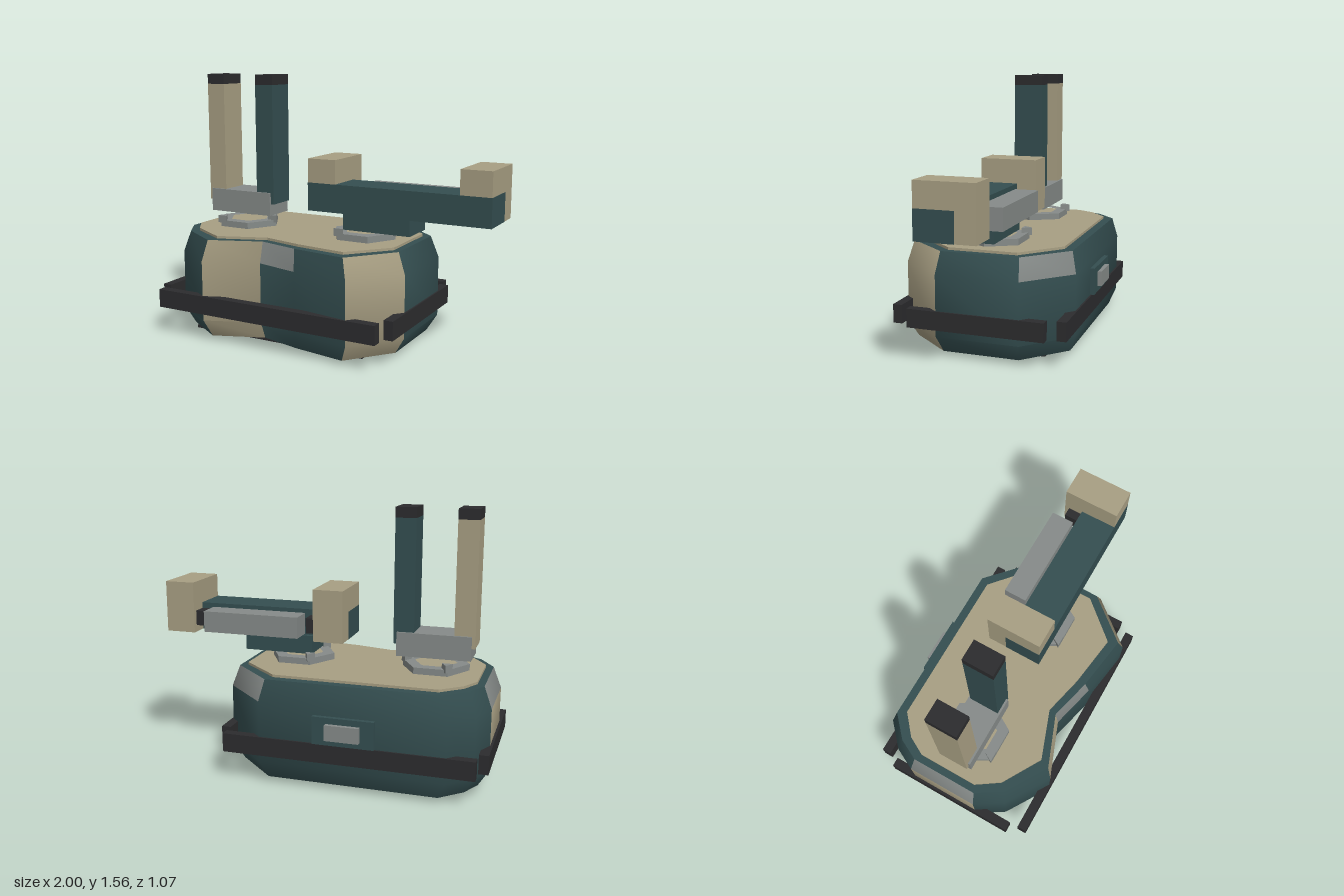
import * as THREE from 'three';
import { toCreasedNormals } from 'three/addons/utils/BufferGeometryUtils.js';

const mat = (name, color) => {
  const m = new THREE.MeshStandardMaterial({ color });
  m.name = name;
  return m;
};

export function createModel() {
  const teal = mat('teal', 0x344e50);
  const sand = mat('sand', 0xa89f83);
  const grey = mat('grey', 0x868b89);
  const dark = mat('dark', 0x2c2c2e);

  const model = new THREE.Group();
  model.name = 'model';

  const add = (name, geometry, material, parent = model) => {
    const mesh = new THREE.Mesh(geometry, material);
    mesh.name = name;
    parent.add(mesh);
    return mesh;
  };
  const group = (name) => {
    const g = new THREE.Group();
    g.name = name;
    model.add(g);
    return g;
  };
  // Box given by its limits along each axis
  const box = (name, material, [x0, x1], [y0, y1], [z0, z1], parent) => {
    const g = new THREE.BoxGeometry(x1 - x0, y1 - y0, z1 - z0);
    g.translate((x0 + x1) / 2, (y0 + y1) / 2, (z0 + z1) / 2);
    return add(name, g, material, parent);
  };
  // Flat prism from an (x, z) outline, with optional hole
  const prism = (points, y0, y1, hole) => {
    const flip = (list) => list.map(([x, z]) => new THREE.Vector2(x, -z));
    const shape = new THREE.Shape(flip(points));
    if (hole) shape.holes.push(new THREE.Path(flip(hole)));
    const g = new THREE.ExtrudeGeometry(shape, { depth: y1 - y0, bevelEnabled: false });
    return g.rotateX(-Math.PI / 2).translate(0, y0, 0);
  };
  const hexagon = (cx, cz, r) => Array.from({ length: 6 }, (_, i) =>
    [cx + r * Math.cos(i * Math.PI / 3), cz + r * Math.sin(i * Math.PI / 3)]);

  // Hull outline seen from above, starting at the left edge and passing the back first
  const outline = [
    [-0.985, -0.23], [-0.92, -0.36], [-0.785, -0.485], [0.285, -0.485],
    [0.55, -0.24], [0.55, 0.25], [0.325, 0.525], [-0.03, 0.47],
    [-0.30, 0.40], [-0.625, 0.525], [-0.885, 0.36], [-0.985, 0.2],
  ];
  const centreX = -0.215;
  const scaled = (sx, sz = sx) => outline.map(([x, z]) => [centreX + (x - centreX) * sx, z * sz]);

  // Hull walls: stacked rings with painted panels
  const rings = [[0.03, 0.92], [0.13, 1], [0.49, 1], [0.615, 0.94]];
  const fullPanels = [5, 8, 11];   // sand, full height
  const upperPanels = [3, 7, 11];  // grey, top band only
  const hullMaterials = [teal, sand, grey];
  const positions = [];
  const hullGeometry = new THREE.BufferGeometry();
  for (let r = 0; r < rings.length - 1; r++) {
    const [y0, s0] = rings[r];
    const [y1, s1] = rings[r + 1];
    const low = scaled(s0);
    const high = scaled(s1);
    outline.forEach((_, i) => {
      const j = (i + 1) % outline.length;
      const a = [low[i][0], y0, low[i][1]];
      const b = [low[j][0], y0, low[j][1]];
      const c = [high[j][0], y1, high[j][1]];
      const d = [high[i][0], y1, high[i][1]];
      let paint = fullPanels.includes(i) ? 1 : 0;
      if (r === 2 && upperPanels.includes(i)) paint = 2;
      hullGeometry.addGroup(positions.length / 3, 6, paint);
      positions.push(...a, ...d, ...c, ...a, ...c, ...b);
    });
  }
  hullGeometry.setAttribute('position', new THREE.Float32BufferAttribute(positions, 3));
  add('hullWalls', toCreasedNormals(hullGeometry, 0.9), hullMaterials);
  add('hullTop', prism(scaled(0.94), 0.6, 0.615), teal);
  add('hullBottom', prism(scaled(0.92), 0.03, 0.04), teal);
  add('deckPlate', prism(scaled(0.885, 0.83), 0.61, 0.63), sand);

  // Bumper rails around the hull
  const railY = [0.17, 0.28];
  box('frontRail', dark, [-0.945, 0.505], railY, [0.48, 0.535]);
  box('backRail', dark, [-0.945, 0.505], railY, [-0.495, -0.44]);
  box('rightRail', dark, [-1.0, -0.945], railY, [-0.385, 0.425]);
  box('leftRail', dark, [0.505, 0.56], railY, [-0.385, 0.425]);

  // Underside plate with hexagonal feet
  box('bottomPlate', dark, [-0.79, 0.35], [0.015, 0.032], [-0.33, 0.37]);
  for (const [x, z] of [[0.16, 0.16], [-0.22, -0.23], [-0.6, 0.16]]) {
    add('footRing', prism(hexagon(x, z, 0.14), 0, 0.016, hexagon(x, z, 0.09)), grey);
  }

  // Back hatch
  box('hatchPlate', teal, [-0.395, -0.04], [0.285, 0.445], [-0.512, -0.47]);
  box('hatchCover', grey, [-0.315, -0.12], [0.32, 0.41], [-0.537, -0.51]);

  // Mount rings with three wedge-shaped clamps each
  for (const cx of [-0.625, 0.19]) {
    const mount = group('mountRing');
    const cz = 0.02;
    add('ring', prism(hexagon(cx, cz, 0.196), 0.628, 0.668, hexagon(cx, cz, 0.125)), grey, mount);
    for (let i = 0; i < 3; i++) {
      const a = i * Math.PI * 2 / 3;
      const clamp = new THREE.CylinderGeometry(0.036, 0.036, 0.045, 3).rotateY(Math.PI).toNonIndexed();
      clamp.computeVertexNormals();
      clamp.translate(cx + 0.177 * Math.cos(a), 0.675, cz + 0.177 * Math.sin(a));
      add('clamp', clamp, grey, mount);
    }
  }

  // Twin upright posts
  const posts = group('twinPosts');
  box('postBase', grey, [-0.84, -0.41], [0.71, 0.85], [-0.085, 0.12], posts);
  for (const [x0, x1, material] of [[-0.86, -0.74, sand], [-0.51, -0.39, teal]]) {
    box('post', material, [x0, x1], [0.78, 1.5], [-0.072, 0.108], posts);
    box('postCap', dark, [x0, x1], [1.5, 1.56], [-0.072, 0.108], posts);
  }

  // Horizontal arm with end blocks
  const arm = group('arm');
  box('armMount', teal, [0.1, 0.52], [0.68, 0.79], [-0.09, 0.13], arm);
  box('armBar', teal, [-0.118, 1.0], [0.779, 0.945], [-0.063, 0.159], arm);
  for (const x of [-0.117, 0.819]) {
    box('endBlock', sand, [x, x + 0.18], [0.78, 1.086], [-0.178, 0.158], arm);
  }
  box('sideBox', grey, [0.145, 0.735], [0.8, 0.925], [-0.218, -0.08], arm);
  for (const x of [0.062, 0.766]) {
    box('sideClip', dark, [x, x + 0.054], [0.82, 0.91], [-0.15, -0.06], arm);
  }

  return model;
}
